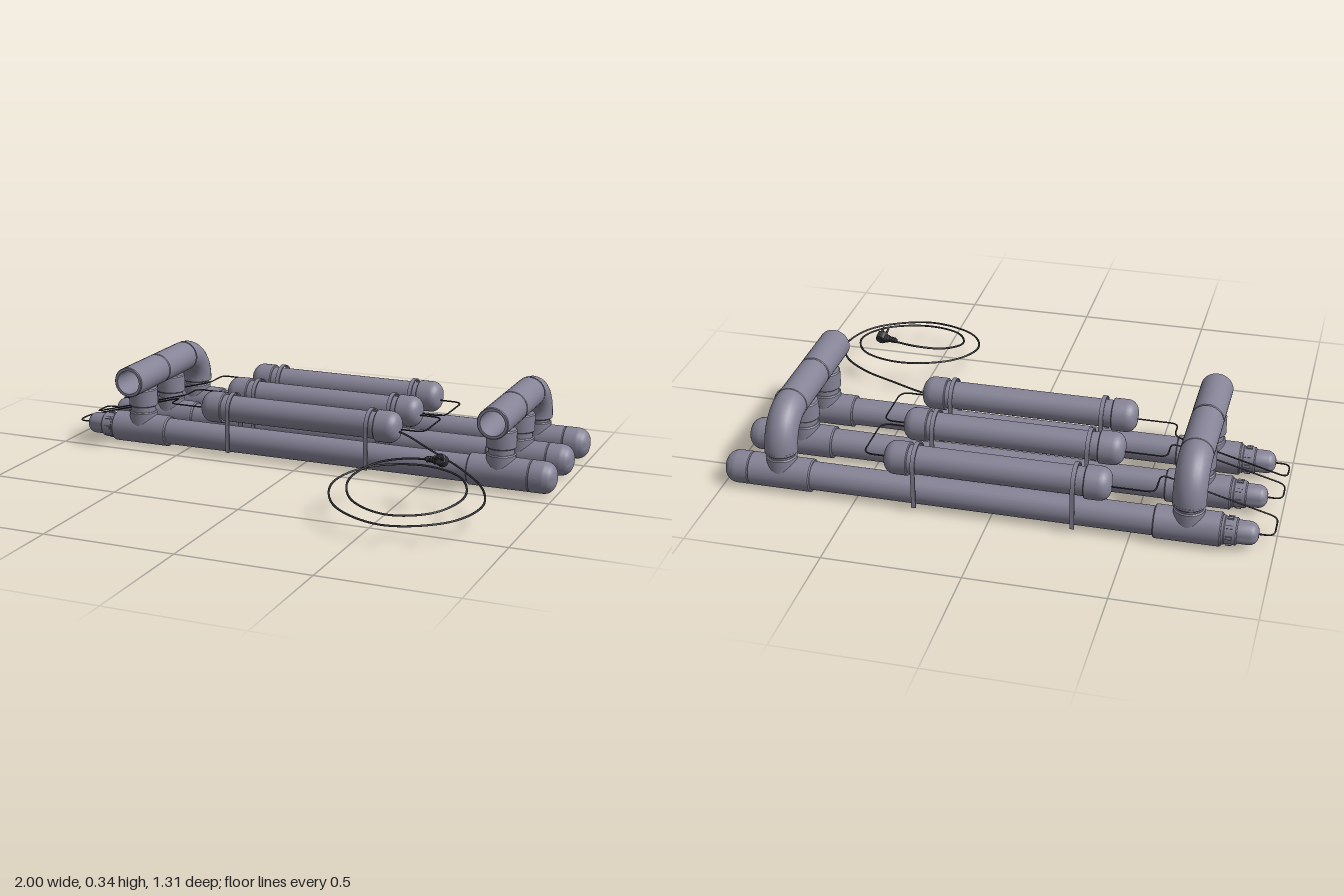
import * as THREE from 'three';
import { toCreasedNormals } from 'three/addons/utils/BufferGeometryUtils.js';

const pipeMat = new THREE.MeshStandardMaterial({ color: 0x858396, side: THREE.DoubleSide });
const cableMat = new THREE.MeshStandardMaterial({ color: 0x333338 });

const ROWS = [-0.113, -0.353, -0.594]; // z of the three pipe rows
const LOW = 0.0635, HIGH = 0.187, TOP = 0.28; // axis heights of the lower, upper and header pipes
const HEADERS = [-0.70, 0.783];

function add(parent, name, geometry, material = pipeMat) {
  const mesh = new THREE.Mesh(geometry, material);
  mesh.name = name;
  parent.add(mesh);
  return mesh;
}

// Turned part; profile is [position along axis, radius], axis is 'x', 'y' or 'z'
function turned(profile, axis, segments = 28) {
  const g = new THREE.LatheGeometry(profile.map(([a, r]) => new THREE.Vector2(r, a)), segments);
  if (axis === 'x') g.rotateZ(-Math.PI / 2);
  if (axis === 'z') g.rotateX(Math.PI / 2);
  return toCreasedNormals(g, 0.6);
}

// Sleeve with slightly bevelled ends
const sleeve = (a, b, r) => [[a, 0], [a, r - 0.004], [a + 0.004, r], [b - 0.004, r], [b, r - 0.004], [b, 0]];

// Rounded cap from a (flat) to b (domed); dir -1 domes toward the lower end
function cap(a, b, r, round) {
  const dir = Math.sign(b - a), p = [[a, 0], [a, r - 0.003], [a + dir * 0.003, r]];
  for (let i = 0; i <= 7; i++) {
    const t = (i / 7) * Math.PI / 2;
    p.push([b - dir * round * (1 - Math.sin(t)), r - round + round * Math.cos(t)]);
  }
  p.push([b, 0]);
  return dir > 0 ? p : p.reverse();
}

// Wire through corner points, each corner rounded
function wire(parent, name, corners, radius, bend) {
  const pts = corners.map(c => new THREE.Vector3(...c));
  const path = new THREE.CurvePath();
  let from = pts[0];
  for (let i = 1; i < pts.length - 1; i++) {
    const p = pts[i];
    const trim = q => p.clone().add(q.clone().sub(p).setLength(Math.min(bend, p.distanceTo(q) * 0.45)));
    const a = trim(pts[i - 1]), b = trim(pts[i + 1]);
    path.add(new THREE.LineCurve3(from, a));
    path.add(new THREE.QuadraticBezierCurve3(a, p, b));
    from = b;
  }
  path.add(new THREE.LineCurve3(from, pts[pts.length - 1]));
  add(parent, name, new THREE.TubeGeometry(path, 110, radius, 6), cableMat);
}

// Inverted U strap over an upper pipe, legs reaching down past the lower pipe
function strapGeometry() {
  const o = 0.065, i = 0.060, foot = 0.025 - HIGH;
  const s = new THREE.Shape();
  s.moveTo(o, foot);
  s.lineTo(o, 0);
  s.absarc(0, 0, o, 0, Math.PI, false);
  s.lineTo(-o, foot);
  s.lineTo(-i, foot);
  s.lineTo(-i, 0);
  s.absarc(0, 0, i, Math.PI, 0, true);
  s.lineTo(i, foot);
  const g = new THREE.ExtrudeGeometry(s, { depth: 0.016, bevelEnabled: false, curveSegments: 20 });
  return toCreasedNormals(g.translate(0, 0, -0.008).rotateY(Math.PI / 2), 0.6);
}

function lowerPipe(z) {
  const g = new THREE.Group();
  g.name = 'lowerPipe';
  g.position.set(0, LOW, z);
  add(g, 'longTube', turned(sleeve(-0.83, 0.92, 0.052), 'x'));
  for (const x of HEADERS) {
    add(g, 'teeSleeve', turned(sleeve(x - 0.118, x + 0.118, 0.0605), 'x'));
    add(g, 'teeSocket', turned(sleeve(0, 0.075, 0.056), 'y')).position.x = x;
    add(g, 'riserNeck', turned(sleeve(0, 0.12, 0.049), 'y')).position.x = x;
  }
  add(g, 'endCap', turned(cap(0.90, 0.995, 0.0605, 0.045), 'x'));
  // stepped gland at the wired end
  add(g, 'glandCollar', turned(sleeve(-0.872, -0.81, 0.049), 'x'));
  add(g, 'glandCap', turned(cap(-0.865, -0.945, 0.042, 0.034), 'x'));
  for (let i = 0; i < 8; i++) {
    const a = i * Math.PI / 4;
    const lug = add(g, 'collarLug', new THREE.BoxGeometry(0.022, 0.008, 0.012));
    lug.position.set(-0.845, 0.049 * Math.cos(a), 0.049 * Math.sin(a));
    lug.rotation.x = a;
  }
  return g;
}

function upperPipe(z) {
  const g = new THREE.Group();
  g.name = 'upperPipe';
  g.position.set(0, HIGH, z);
  add(g, 'shortTube', turned(sleeve(-0.36, 0.32, 0.052), 'x'));
  add(g, 'leftCap', turned(cap(0.297, 0.388, 0.061, 0.04), 'x'));
  add(g, 'rightCap', turned(cap(-0.337, -0.428, 0.061, 0.04), 'x'));
  for (const x of [-0.302, 0.272]) add(g, 'strap', strapGeometry()).position.x = x;
  return g;
}

// Header: two tees and an elbow, open at the front
function header(x) {
  const g = new THREE.Group();
  g.name = 'header';
  g.position.x = x;
  const R = 0.06, bore = 0.047;
  for (const [a, b] of [[-0.231, 0.01], [-0.472, -0.233]]) {
    const p = [[a, bore], [a, R - 0.003], [a + 0.003, R], [b - 0.003, R], [b, R - 0.003], [b, bore], [a, bore]];
    add(g, 'headerTee', turned(p, 'z')).position.y = TOP;
  }
  for (const z of ROWS.slice(0, 2)) {
    // starts inside the wall of the header so the bore stays clear
    add(g, 'teeBranch', turned(sleeve(0.16, 0.231, 0.057), 'y')).position.z = z;
  }
  const elbow = new THREE.TorusGeometry(0.12, R, 24, 16, Math.PI / 2).rotateY(Math.PI / 2);
  add(g, 'elbow', elbow).position.set(0, TOP - 0.12, -0.474);
  add(g, 'elbowRim', turned(sleeve(0.15, 0.166, R), 'y')).position.z = ROWS[2];
  return g;
}

function powerCable() {
  const g = new THREE.Group();
  g.name = 'powerCable';
  const pts = [
    [0.37, 0.175, -0.113], [0.42, 0.17, -0.09], [0.54, 0.15, -0.01], [0.70, 0.125, 0.10], [0.82, 0.105, 0.23],
    [0.865, 0.09, 0.38], [0.80, 0.08, 0.55], [0.60, 0.076, 0.65], [0.40, 0.09, 0.57], [0.322, 0.115, 0.40],
    [0.39, 0.135, 0.24], [0.57, 0.143, 0.165], [0.735, 0.136, 0.225], [0.802, 0.117, 0.38], [0.74, 0.098, 0.525],
    [0.59, 0.092, 0.587], [0.445, 0.107, 0.53], [0.382, 0.135, 0.39], [0.435, 0.165, 0.275], [0.53, 0.183, 0.237],
    [0.63, 0.193, 0.24],
  ].map(p => new THREE.Vector3(...p));
  add(g, 'coiledCord', new THREE.TubeGeometry(new THREE.CatmullRomCurve3(pts), 200, 0.004, 6), cableMat);

  // plug: ribbed strain relief, angled head and two pins
  const plug = new THREE.Group();
  plug.name = 'plug';
  plug.position.set(0.665, 0.197, 0.25);
  plug.rotation.set(-0.5, -0.12, 0);
  add(plug, 'strainRelief', turned([[-0.055, 0], [-0.055, 0.006], [-0.02, 0.011], [-0.02, 0]], 'x', 12), cableMat);
  for (const x of [-0.045, -0.035, -0.025]) {
    add(plug, 'reliefRib', turned(sleeve(x - 0.002, x + 0.002, 0.012), 'x', 12), cableMat);
  }
  add(plug, 'plugBody', turned(sleeve(-0.022, 0.012, 0.016), 'x', 14), cableMat);
  add(plug, 'plugHead', turned(sleeve(-0.016, 0.02, 0.022), 'z', 18), cableMat).position.x = 0.01;
  for (const s of [-1, 1]) {
    add(plug, 'plugPin', turned(sleeve(0.015, 0.05, 0.0045), 'z', 8), cableMat).position.set(0.01 + s * 0.01, 0, 0);
  }
  g.add(plug);
  return g;
}

export function createModel() {
  const model = new THREE.Group();
  model.name = 'pipeHeater';
  for (const z of ROWS) model.add(lowerPipe(z), upperPipe(z));
  for (const x of HEADERS) model.add(header(x));

  // wires from each gland looping back up to the upper pipe
  const wireY = 0.178, r = 0.003;
  const offsets = [-0.09, 0.098, 0.119];
  ROWS.forEach((z, i) => {
    const side = z + offsets[i];
    wire(model, 'glandWire', [
      [-0.93, LOW, z], [-0.997, LOW, z], [-0.997, LOW, side],
      [-0.58, wireY, side], [-0.58, wireY, z], [-0.41, wireY, z],
    ], r, 0.03);
  });
  // wires linking neighbouring upper pipes
  for (const i of [0, 1]) {
    const a = ROWS[i] - 0.012, b = ROWS[i + 1] + 0.012;
    wire(model, 'linkWire', [[0.37, wireY, a], [0.478, wireY, a], [0.478, wireY, b], [0.37, wireY, b]], r, 0.04);
  }
  model.add(powerCable());
  return model;
}
